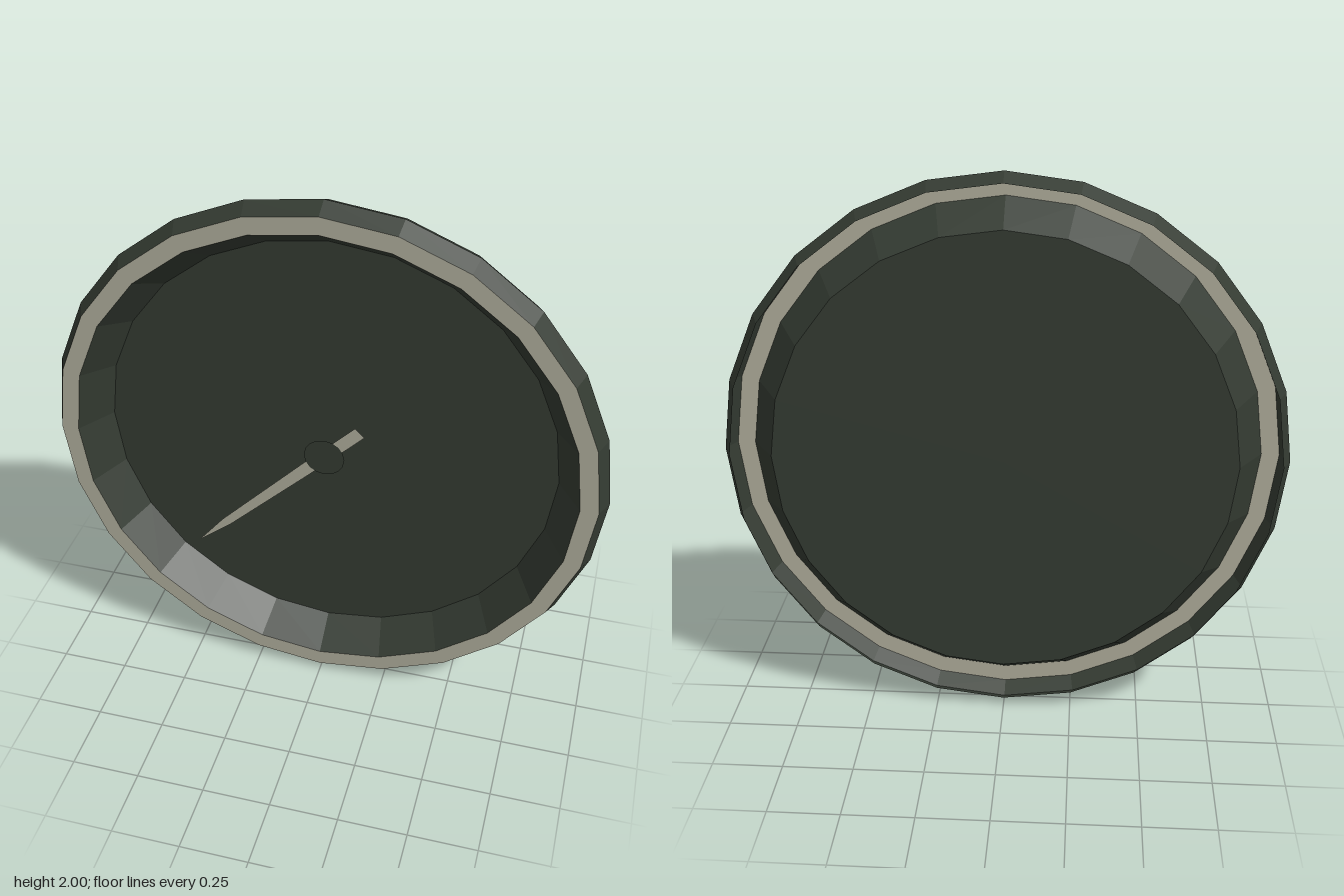
import * as THREE from 'three';

const SIDES = 24;

export function createModel() {
  const model = new THREE.Group();
  model.name = 'dialGauge';

  const dark = new THREE.MeshStandardMaterial({ color: 0x343b32, flatShading: true, side: THREE.DoubleSide });
  dark.name = 'dark green metal';
  const beige = new THREE.MeshStandardMaterial({ color: 0xb0ae9c, flatShading: true, side: THREE.DoubleSide });
  beige.name = 'pale bezel';

  // Everything is laid out around the dial's centre, one unit up
  const dial = new THREE.Group();
  dial.name = 'dial';
  dial.position.y = 1;
  model.add(dial);

  function add(name, geometry, material, z = 0) {
    const mesh = new THREE.Mesh(geometry, material);
    mesh.name = name;
    mesh.position.z = z;
    dial.add(mesh);
    return mesh;
  }

  // Faceted ring from [radius, z] profile points, turned to face the front
  function ring(points) {
    const profile = points.map(([r, z]) => new THREE.Vector2(r, z));
    return new THREE.LatheGeometry(profile, SIDES).rotateX(Math.PI / 2);
  }

  // Thin shell open at the back: outer rim, front bezel, sloping inner wall
  add('outerRim', ring([[0.97, -0.062], [1, 0], [0.97, 0.063]]), dark);
  add('frontBezel', ring([[0.97, 0.063], [0.907, 0.063]]), beige);
  add('innerWall', ring([[0.907, 0.063], [0.82, -0.068]]), dark);
  add('dialFace', new THREE.CircleGeometry(0.82, SIDES), dark, -0.068);

  // Needle drawn pointing along +x: tail, straight shaft and tapered tip
  const needle = new THREE.Shape([
    [-0.18, -0.024], [0.1, -0.024], [0.54, -0.017], [0.7, 0],
    [0.54, 0.017], [0.1, 0.024], [-0.18, 0.024],
  ].map(([x, y]) => new THREE.Vector2(x, y)));
  add('needle', new THREE.ShapeGeometry(needle), beige, -0.004).rotation.z = Math.PI * 1.25;

  // Flat cap over the needle's pivot
  add('needleHub', new THREE.CircleGeometry(0.074, 16), dark);

  return model;
}
